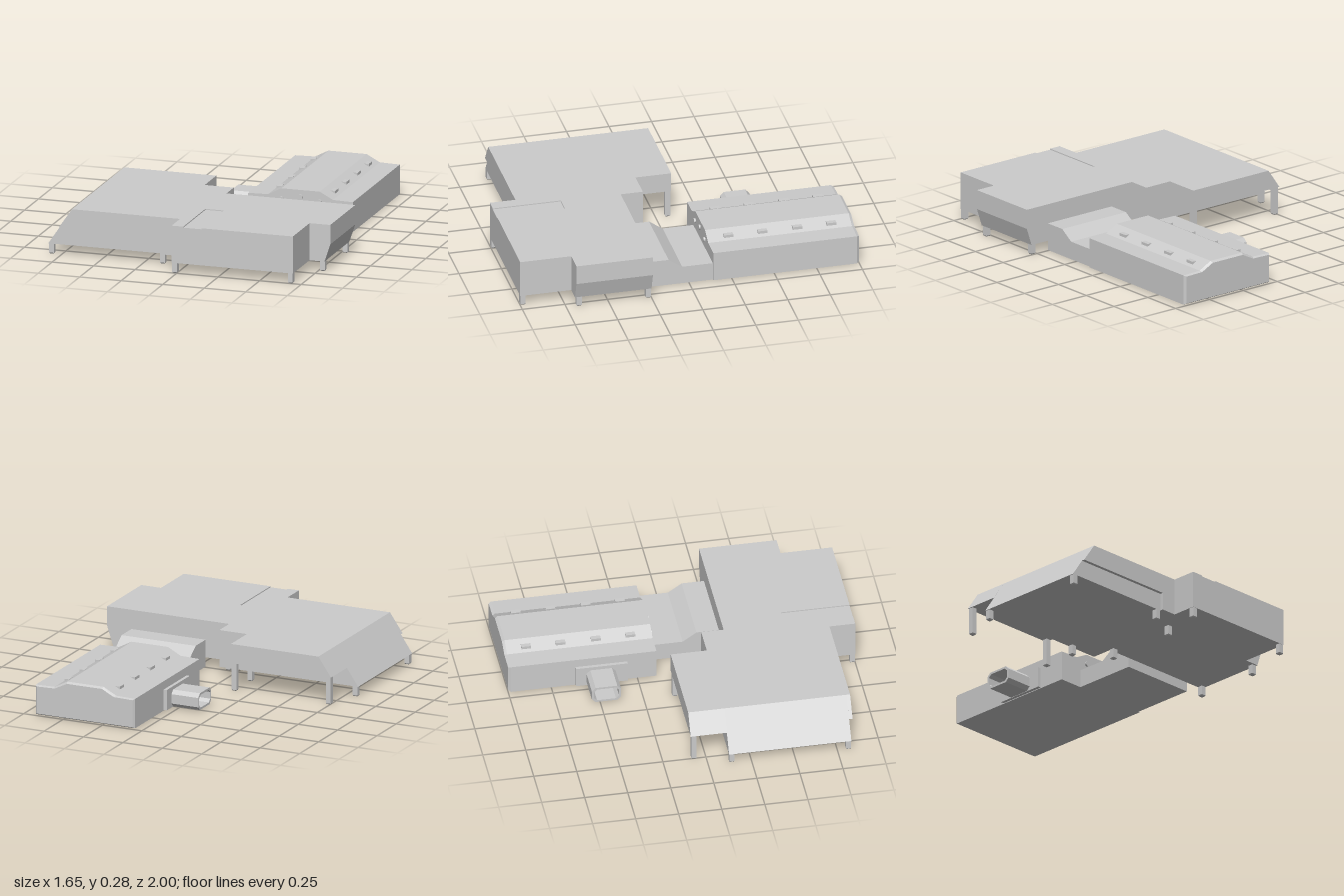
import * as THREE from 'three';

const mat = new THREE.MeshStandardMaterial({ color: 0xcccccc, flatShading: true });

export function createModel() {
  const model = new THREE.Group();

  const add = (geo, name, parent = model) => {
    const mesh = new THREE.Mesh(geo, mat);
    mesh.name = name;
    parent.add(mesh);
    return mesh;
  };
  const group = (name) => {
    const g = new THREE.Group();
    g.name = name;
    model.add(g);
    return g;
  };
  const shapeOf = (pts) => new THREE.Shape(pts.map(([a, b]) => new THREE.Vector2(a, b)));
  // x-y profile swept from z0 to z1
  const prismZ = (pts, z0, z1) =>
    new THREE.ExtrudeGeometry(shapeOf(pts), { depth: z1 - z0, bevelEnabled: false }).translate(0, 0, z0);
  // (-z)-y profile swept from x0 to x1
  const prismX = (shape, x0, x1) =>
    new THREE.ExtrudeGeometry(shape, { depth: x1 - x0, bevelEnabled: false })
      .rotateY(Math.PI / 2).translate(x0, 0, 0);
  const box = (x0, x1, y0, y1, z0, z1) =>
    new THREE.BoxGeometry(x1 - x0, y1 - y0, z1 - z0)
      .translate((x0 + x1) / 2, (y0 + y1) / 2, (z0 + z1) / 2);

  // Main hall: slices from back to front, raised on legs
  const low = 0.06, mid = 0.165, top = 0.28;
  const slopeFoot = [-0.83, low], slopeMid = [-0.76, mid], slopeTop = [-0.68, top];
  const eastWall = [[0.79, low], [0.825, mid], [0.825, top]];
  const frontWall = [[0.7, low], [0.7, top]];
  const notch = [[0.15, top], [0.15, top - 0.006], [0.04, top - 0.006], [0.04, top]];
  const hall = group('mainHall');
  [
    ['rearOverhang', -0.09, 0.12, [slopeMid, [-0.125, mid], [-0.125, top], slopeTop]],
    ['rearBay', 0.12, 0.25, [slopeFoot, [0.05, low], [0.05, top], slopeTop]],
    ['centralBay', 0.25, 0.6, [slopeFoot, ...eastWall, slopeTop]],
    ['notchedBay', 0.6, 0.7, [slopeFoot, ...eastWall, ...notch, slopeTop]],
    ['frontBay', 0.7, 0.83, [slopeFoot, ...frontWall, ...notch, slopeTop]],
    ['frontLedge', 0.83, 0.85,
      [slopeMid, [-0.125, mid], [-0.125, low], ...frontWall, ...notch, slopeTop]],
    ['frontBlock', 0.85, 1, [[-0.03, low], ...frontWall, ...notch, [-0.03, top]]],
  ].forEach(([name, z0, z1, pts]) => add(prismZ(pts, z0, z1), name, hall));

  // Legs: x, z, height
  const legs = group('legs');
  [
    [-0.81, 0.815, low], [-0.81, 0.137, low], [-0.74, -0.07, mid], [-0.142, -0.07, mid],
    [-0.142, 0.137, low], [0.06, 0.268, low], [0.06, 0.71, low], [-0.142, 0.815, low],
    [-0.012, 0.984, low], [0.684, 0.984, low], [0.774, 0.675, low], [0.774, 0.268, low],
  ].forEach(([x, z, h]) => {
    const r = 0.015;
    add(box(x - r, x + r, 0.006, h + 0.004, z - r, z + r), 'leg', legs);
    add(new THREE.CylinderGeometry(r * 1.41, r, 0.006, 4).rotateY(Math.PI / 4)
      .translate(x, 0.003, z), 'foot', legs);
  });

  // Link passage with a stepped-down roof
  add(prismX(shapeOf([
    [-0.25, 0.004], [0.14, 0.004], [0.14, 0.11], [-0.04, 0.11], [-0.12, mid], [-0.25, mid],
  ]), 0.2, 0.67), 'linkPassage');

  // Rear annex with a raised roof and a tapered back end
  const annex = group('annex');
  const annexProfile = [
    [0.05, 0.004], [0.68, 0.004], [0.68, 0.18], [0.56, 0.183],
    [0.48, 0.225], [0.25, 0.225], [0.17, 0.183], [0.05, 0.18],
  ];
  add(prismZ(annexProfile, -0.985, -0.14), 'annexBody', annex);
  const end = prismZ(annexProfile, -1, -0.985);
  const p = end.attributes.position;
  for (let i = 0; i < p.count; i++) {
    if (p.getZ(i) < -0.99) {
      p.setX(i, 0.365 + (p.getX(i) - 0.365) * 0.965);
      p.setY(i, 0.11 + (p.getY(i) - 0.11) * 0.92);
    }
  }
  end.computeVertexNormals();
  add(end, 'annexBackEnd', annex);

  // Small skylights on both roof slopes
  for (const z of [-0.87, -0.67, -0.465, -0.265]) {
    for (const side of [-1, 1]) {
      const x = 0.365 + side * 0.162;
      add(box(x - 0.014, x + 0.014, 0.185, 0.209, z - 0.028, z + 0.028), 'skylight', annex);
    }
  }

  // Round vents on the annex front
  for (const [x, y] of [[0.25, 0.165], [0.365, 0.185], [0.48, 0.165]]) {
    add(new THREE.CylinderGeometry(0.014, 0.014, 0.012, 12).rotateX(Math.PI / 2)
      .translate(x, y, -0.136), 'vent', annex);
  }

  // Side port: wall plate and open chamfered duct
  add(box(0.03, 0.05, 0.008, 0.13, -0.61, -0.31), 'portPlate');
  const ring = (w, h, c) => [
    [-w + c, -h], [w - c, -h], [w, -h + c], [w, h - c],
    [w - c, h], [-w + c, h], [-w, h - c], [-w, -h + c],
  ].map(([a, b]) => [a + 0.465, b + 0.06]);
  const duct = shapeOf(ring(0.085, 0.05, 0.022));
  duct.holes.push(shapeOf(ring(0.073, 0.038, 0.018)));
  add(prismX(duct, -0.14, 0.04), 'portDuct');

  return model;
}
